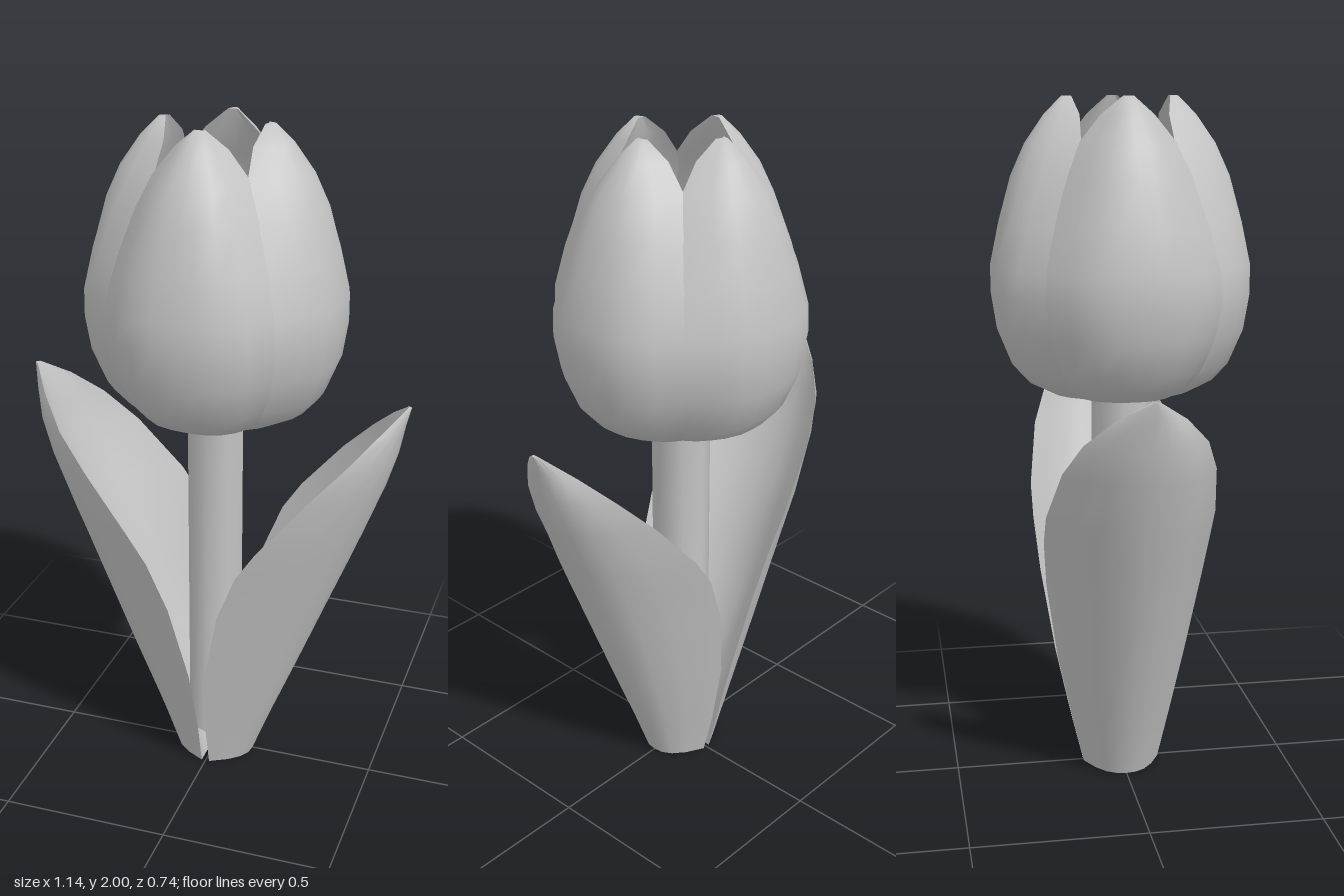
import * as THREE from 'three';
import { toCreasedNormals } from 'three/addons/utils/BufferGeometryUtils.js';

const grey = new THREE.MeshStandardMaterial({ color: 0xc4c4c4, side: THREE.DoubleSide });
grey.name = 'soft grey';

// Curved blade facing +z, lofted through rows of
// [height, half width, distance of spine, distance of edges, thickness]
function blade(rows, power, n = 8) {
  const pos = [], idx = [], m = 2 * n;
  for (const [y, w, spine, edge, t] of rows) {
    for (let j = 0; j < m; j++) {
      const outer = j <= n;
      const s = outer ? (2 * j) / n - 1 : 3 - (2 * j) / n;
      const bulge = 1 - Math.abs(s) ** power;
      pos.push(w * s, y, edge + (spine - edge - (outer ? 0 : t)) * bulge);
    }
  }
  const tri = (a, b, c) => { if (a !== b && b !== c && a !== c) idx.push(a, b, c); };
  for (let i = 0; i < rows.length - 1; i++) {
    for (let j = 0; j < m; j++) {
      const a = i * m + j, b = i * m + (j + 1) % m;
      tri(a, b, b + m);
      tri(a, b + m, a + m);
    }
  }
  // close both ends
  const top = (rows.length - 1) * m;
  for (let j = 0; j < n; j++) {
    const p = j, q = j + 1, r = m - j - 1, s = (m - j) % m;
    tri(top + p, top + q, top + r);
    tri(top + p, top + r, top + s);
    tri(r, q, p);
    tri(s, r, p);
  }
  const g = new THREE.BufferGeometry();
  g.setAttribute('position', new THREE.Float32BufferAttribute(pos, 3));
  g.setIndex(idx);
  return toCreasedNormals(g, 0.9);
}

export function createModel() {
  const flower = new THREE.Group();
  flower.name = 'tulip';
  const add = (name, geometry, turn = 0) => {
    const mesh = new THREE.Mesh(geometry, grey);
    mesh.name = name;
    mesh.rotation.y = turn;
    flower.add(mesh);
    return mesh;
  };

  // stem
  const stem = new THREE.CylinderGeometry(0.085, 0.085, 1.14, 8);
  add('stem', toCreasedNormals(stem, 0.9)).position.set(-0.005, 0.66, 0);

  // four cupped petals, closing under the cup
  const petal = blade([
    [1.15, 0.08, 0.13, 0.07, 0.06],
    [1.165, 0.14, 0.2, 0.11, 0.11],
    [1.2, 0.18, 0.27, 0.14, 0.11],
    [1.25, 0.21, 0.315, 0.175, 0.1],
    [1.35, 0.24, 0.355, 0.215, 0.09],
    [1.45, 0.25, 0.37, 0.235, 0.08],
    [1.53, 0.245, 0.37, 0.235, 0.08],
    [1.65, 0.22, 0.345, 0.205, 0.08],
    [1.78, 0.18, 0.31, 0.165, 0.08],
    [1.87, 0.14, 0.27, 0.13, 0.08],
    [1.95, 0.075, 0.215, 0.125, 0.06],
    [2.0, 0.015, 0.165, 0.14, 0.02],
  ], 2.8);
  ['frontPetal', 'leftPetal', 'backPetal', 'rightPetal'].forEach((name, i) =>
    add(name, petal, (i * Math.PI) / 2));

  // two tall leaves, folded around the stem, solid at the foot
  const leaf = blade([
    [0.005, 0.115, 0.12, 0.012, 0.108],
    [0.15, 0.15, 0.175, 0.012, 0.1],
    [0.36, 0.195, 0.26, 0.025, 0.08],
    [0.6, 0.232, 0.355, 0.075, 0.07],
    [0.75, 0.245, 0.415, 0.135, 0.07],
    [0.84, 0.245, 0.45, 0.195, 0.06],
    [1.0, 0.215, 0.51, 0.33, 0.05],
    [1.1, 0.17, 0.54, 0.425, 0.04],
    [1.18, 0.095, 0.555, 0.5, 0.03],
    [1.24, 0.01, 0.57, 0.56, 0.01],
  ], 2.4);
  add('leftLeaf', leaf, Math.PI / 2);
  add('rightLeaf', leaf, -Math.PI / 2);
  return flower;
}
